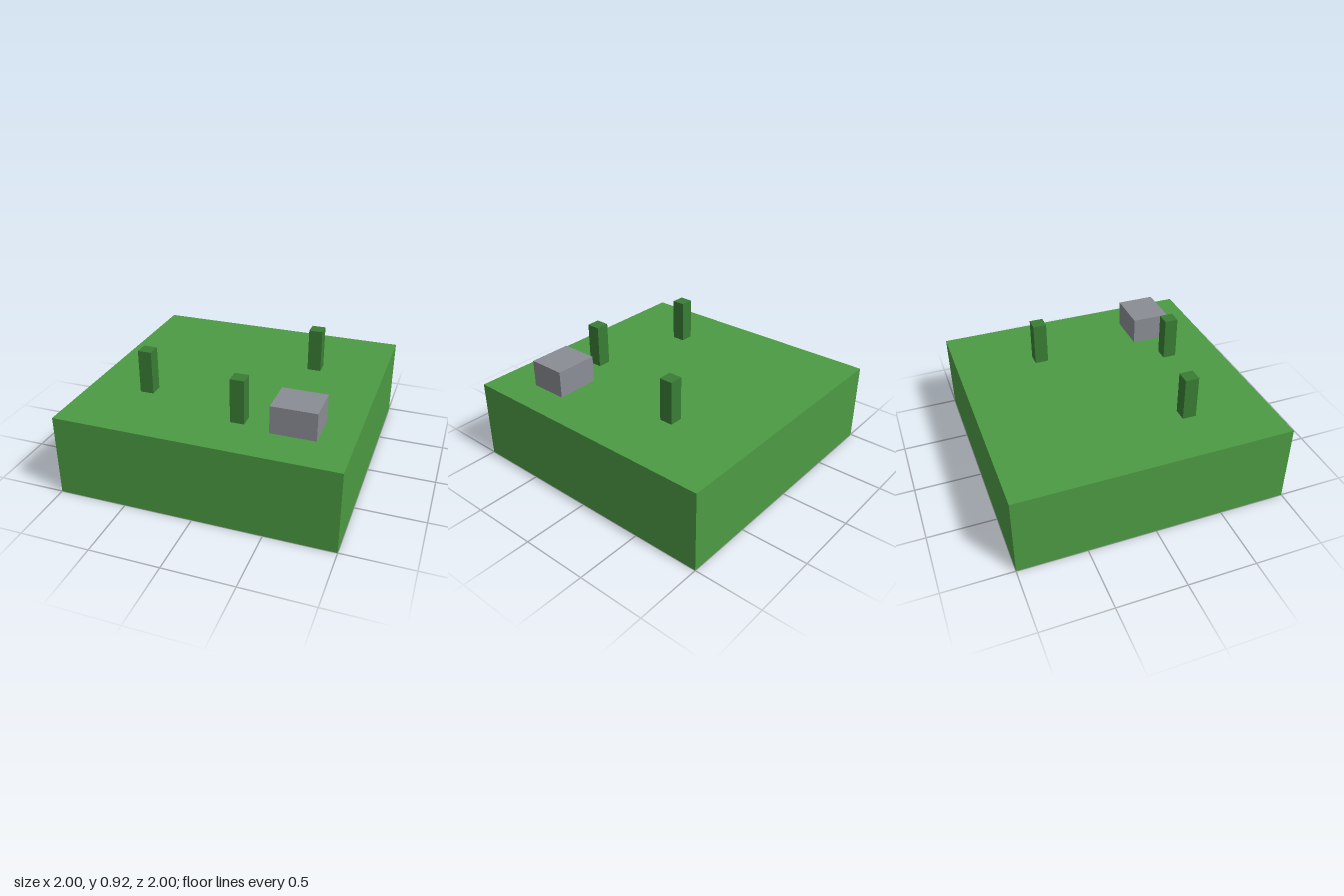
import * as THREE from 'three';

export function createModel() {
  const model = new THREE.Group();

  // A box standing on height y, centred on x and z
  function addBox(name, color, [w, h, d], [x, y, z]) {
    const mesh = new THREE.Mesh(
      new THREE.BoxGeometry(w, h, d),
      new THREE.MeshStandardMaterial({ color })
    );
    mesh.name = name;
    mesh.position.set(x, y + h / 2, z);
    model.add(mesh);
  }

  // Ground block, with a soil layer just inside its lower third
  addBox('grassBlock', 0x4c9a43, [2, 0.6, 2], [0, 0, 0]);
  addBox('soilLayer', 0x6b4030, [1.996, 0.198, 1.996], [0, 0.002, 0]);

  // Grass tufts
  const tufts = [[-0.56, 0.4], [0.2, 0.6], [0.48, -0.36]];
  tufts.forEach(([x, z], i) =>
    addBox(`grassTuft${i + 1}`, 0x397d34, [0.1, 0.32, 0.1], [x, 0.6, z]));

  // Rock
  addBox('rock', 0x8a8d94, [0.32, 0.2, 0.28], [0.6, 0.6, 0.56]);

  return model;
}
